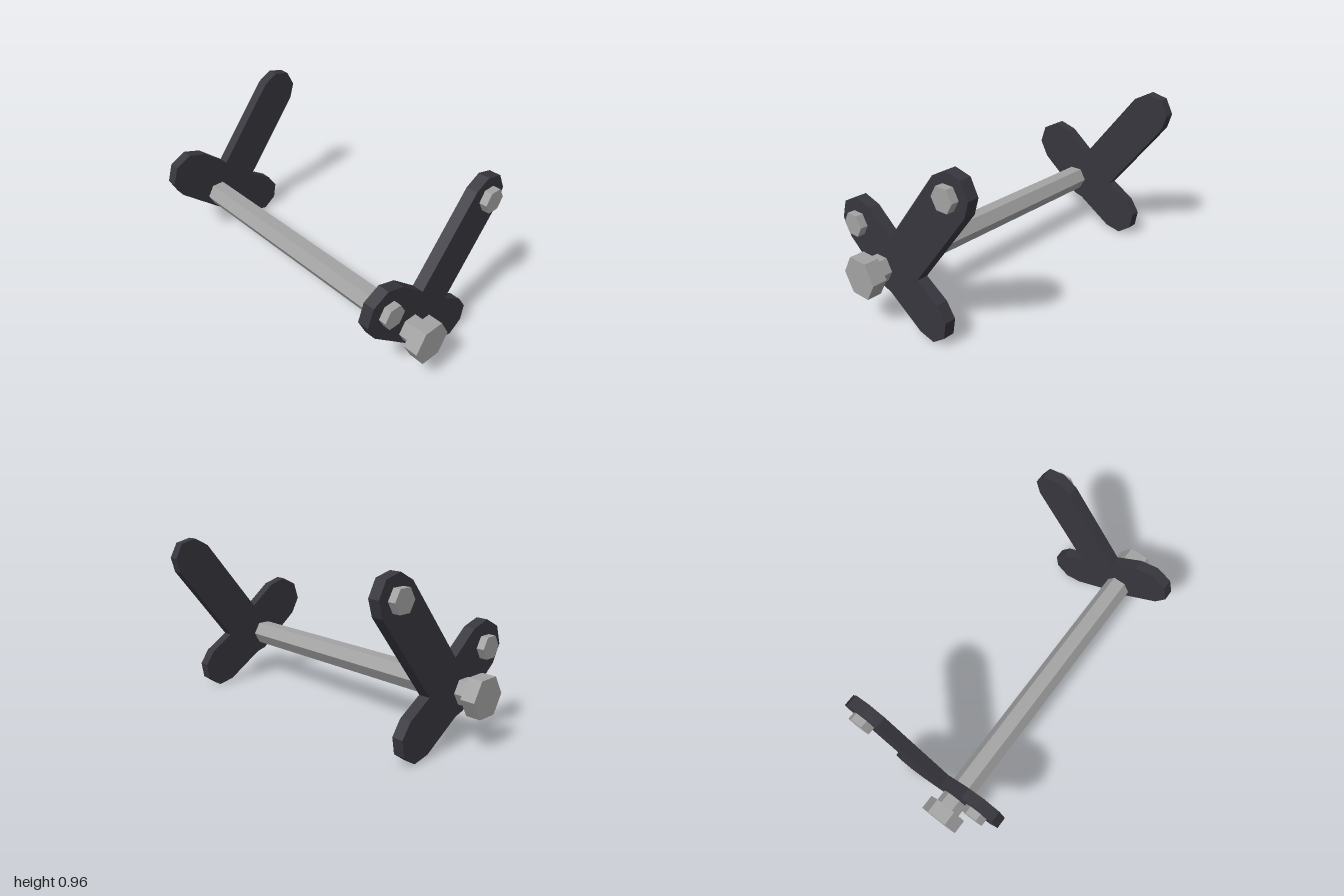
import * as THREE from 'three';

export function createModel() {
  const root = new THREE.Group();
  root.name = 'crossBarAssembly';
  const darkMetal = new THREE.MeshStandardMaterial({ color: 0x38363e, flatShading: true });
  darkMetal.name = 'dark metal';
  const steel = new THREE.MeshStandardMaterial({ color: 0xa3a3a3, flatShading: true });
  steel.name = 'steel';

  // Hexagonal prism along z, with corners pointing to +x and -x
  function hexPrism(name, radius, x, y, z0, z1) {
    const geo = new THREE.CylinderGeometry(radius, radius, z1 - z0, 6, 1, false, Math.PI / 2);
    geo.rotateX(Math.PI / 2);
    const mesh = new THREE.Mesh(geo, steel);
    mesh.name = name;
    mesh.position.set(x, y, (z0 + z1) / 2);
    root.add(mesh);
  }

  // Three-armed bracket outline
  const outline = [
    [0.335, 0.958], [0.25, 0.912], [-0.093, 0.48], [-0.243, 0.602], [-0.348, 0.633],
    [-0.443, 0.583], [-0.475, 0.48], [-0.424, 0.384], [-0.175, 0.18], [-0.117, 0.163],
    [0.1, 0.021], [0.196, 0.001], [0.275, 0.057], [0.291, 0.15], [0.237, 0.23],
    [0.1, 0.317], [0.447, 0.76], [0.473, 0.848], [0.428, 0.935],
  ];
  const shape = new THREE.Shape(outline.map(([x, y]) => new THREE.Vector2(x, y)));
  const plateGeo = new THREE.ExtrudeGeometry(shape, { depth: 0.064, bevelEnabled: false });

  // Long hexagonal axle
  hexPrism('axle', 0.075, -0.17, 0.29, -0.92, 0.92);

  // Bracket and bolt heads at both ends
  for (const [end, s] of [['front', 1], ['back', -1]]) {
    const plate = new THREE.Mesh(plateGeo, darkMetal);
    plate.name = end + 'Bracket';
    plate.position.z = s > 0 ? 0.786 : -0.85;
    root.add(plate);

    const head = (name, r, x, y, a, b) =>
      hexPrism(end + name, r, x, y, Math.min(s * a, s * b), Math.max(s * a, s * b));
    head('AxleHead', 0.116, -0.17, 0.288, 0.918, 1);
    head('UpperBolt', 0.067, 0.349, 0.835, 0.84, 0.892);
    head('LowerBolt', 0.067, -0.336, 0.493, 0.84, 0.892);
  }
  return root;
}
